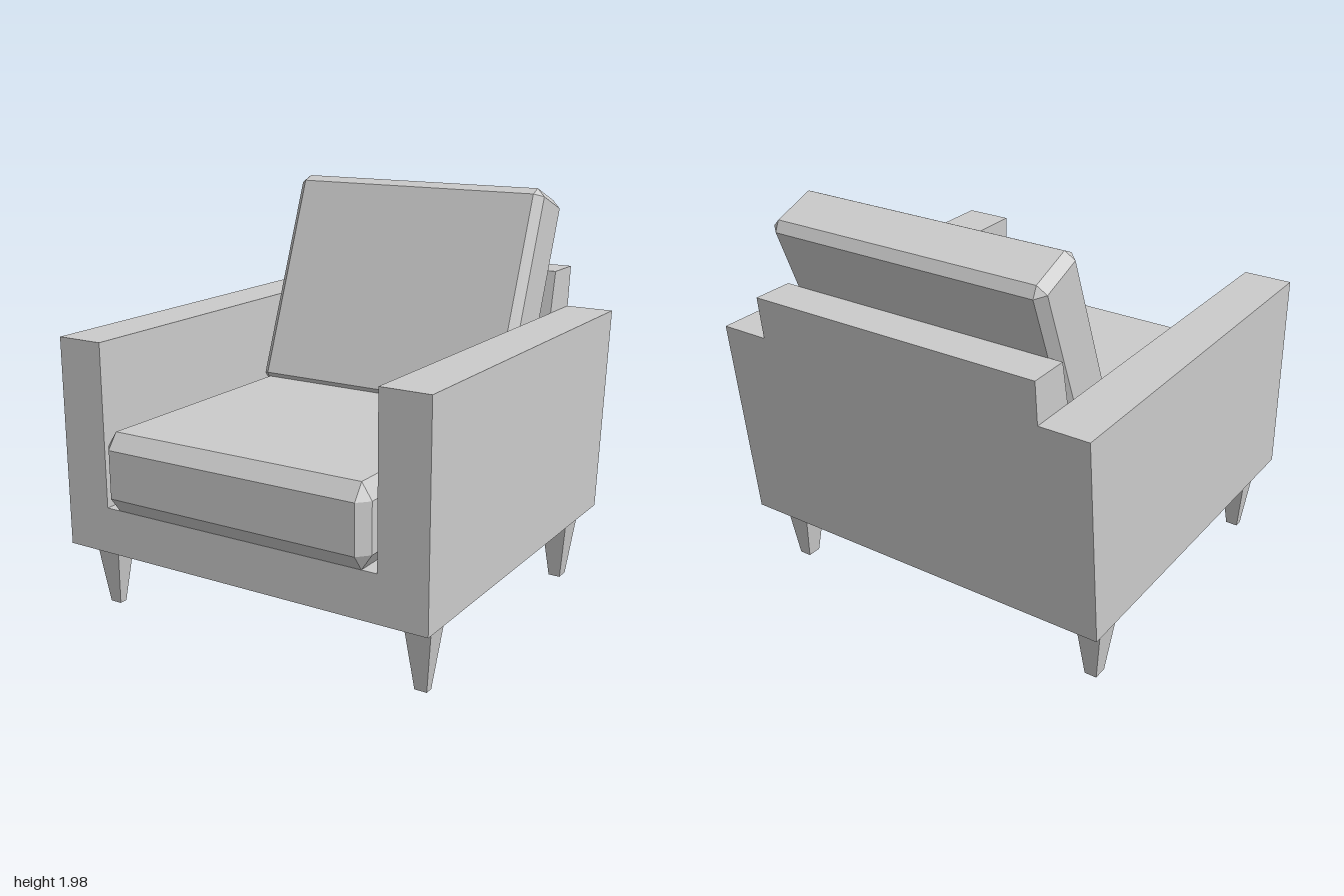
import * as THREE from 'three';
import { ConvexGeometry } from 'three/addons/geometries/ConvexGeometry.js';

const material = new THREE.MeshStandardMaterial({ color: 0xcccccc, flatShading: true });

// z of the leaning rear plane at height y
const rearZ = (y) => -0.88 - 0.0985 * (y - 0.34);

const polygon = (points) => new THREE.Shape(points.map(([x, y]) => new THREE.Vector2(x, y)));

// Box with every edge bevelled: c = bevel inset along x, y, z
function chamferedBox(w, h, d, [cx, cy, cz]) {
  const points = [];
  for (const sx of [-1, 1]) for (const sy of [-1, 1]) for (const sz of [-1, 1]) {
    const x = w / 2, y = h / 2, z = d / 2;
    points.push(
      new THREE.Vector3(sx * x, sy * (y - cy), sz * (z - cz)),
      new THREE.Vector3(sx * (x - cx), sy * y, sz * (z - cz)),
      new THREE.Vector3(sx * (x - cx), sy * (y - cy), sz * z));
  }
  return new ConvexGeometry(points);
}

// Square leg narrowing towards the floor
function taperedLeg(topX, topZ, footX, footZ, height) {
  const geometry = new THREE.BoxGeometry(topX, height, topZ);
  const p = geometry.attributes.position;
  for (let i = 0; i < p.count; i++) {
    if (p.getY(i) < 0) {
      p.setX(i, Math.sign(p.getX(i)) * footX / 2);
      p.setZ(i, Math.sign(p.getZ(i)) * footZ / 2);
    }
  }
  geometry.computeVertexNormals();
  return geometry;
}

export function createModel() {
  const chair = new THREE.Group();
  chair.name = 'armchair';
  const add = (name, geometry, x = 0, y = 0, z = 0) => {
    const mesh = new THREE.Mesh(geometry, material);
    mesh.name = name;
    mesh.position.set(x, y, z);
    chair.add(mesh);
    return mesh;
  };

  // Base and both arms: one U section, its rear end cut to the leaning plane
  const frame = new THREE.ExtrudeGeometry(polygon([
    [-0.97, 0.34], [0.97, 0.34], [0.97, 1.355], [0.73, 1.355],
    [0.73, 0.565], [-0.73, 0.565], [-0.73, 1.355], [-0.97, 1.355],
  ]), { depth: 1, bevelEnabled: false });
  const p = frame.attributes.position;
  for (let i = 0; i < p.count; i++) {
    p.setZ(i, p.getZ(i) > 0.5 ? 0.945 : rearZ(p.getY(i)));
  }
  frame.computeVertexNormals();
  add('baseAndArms', frame);

  // Backrest between the arms, drawn in side profile (z, y)
  const back = new THREE.ExtrudeGeometry(polygon([
    [rearZ(0.565), 0.565], [-0.59, 0.565], [-0.8, 1.56], [rearZ(1.56), 1.56],
  ]), { depth: 1.46, bevelEnabled: false });
  back.rotateY(-Math.PI / 2);
  add('backrest', back, 0.73);

  // Cushions
  add('seatCushion', chamferedBox(1.41, 0.383, 1.6, [0.05, 0.075, 0.055]), 0, 0.757, 0.2);
  const backCushion = add('backCushion',
    chamferedBox(1.41, 1.136, 0.294, [0.042, 0.04, 0.04]), 0, 1.41, -0.587);
  backCushion.rotation.x = -THREE.MathUtils.degToRad(21.1);

  // Legs
  for (const [side, x] of [['Left', 0.855], ['Right', -0.855]]) {
    add('front' + side + 'Leg', taperedLeg(0.14, 0.125, 0.06, 0.04, 0.34), x, 0.17, 0.768);
    add('rear' + side + 'Leg', taperedLeg(0.14, 0.155, 0.06, 0.07, 0.34), x, 0.17, -0.688);
  }
  return chair;
}
